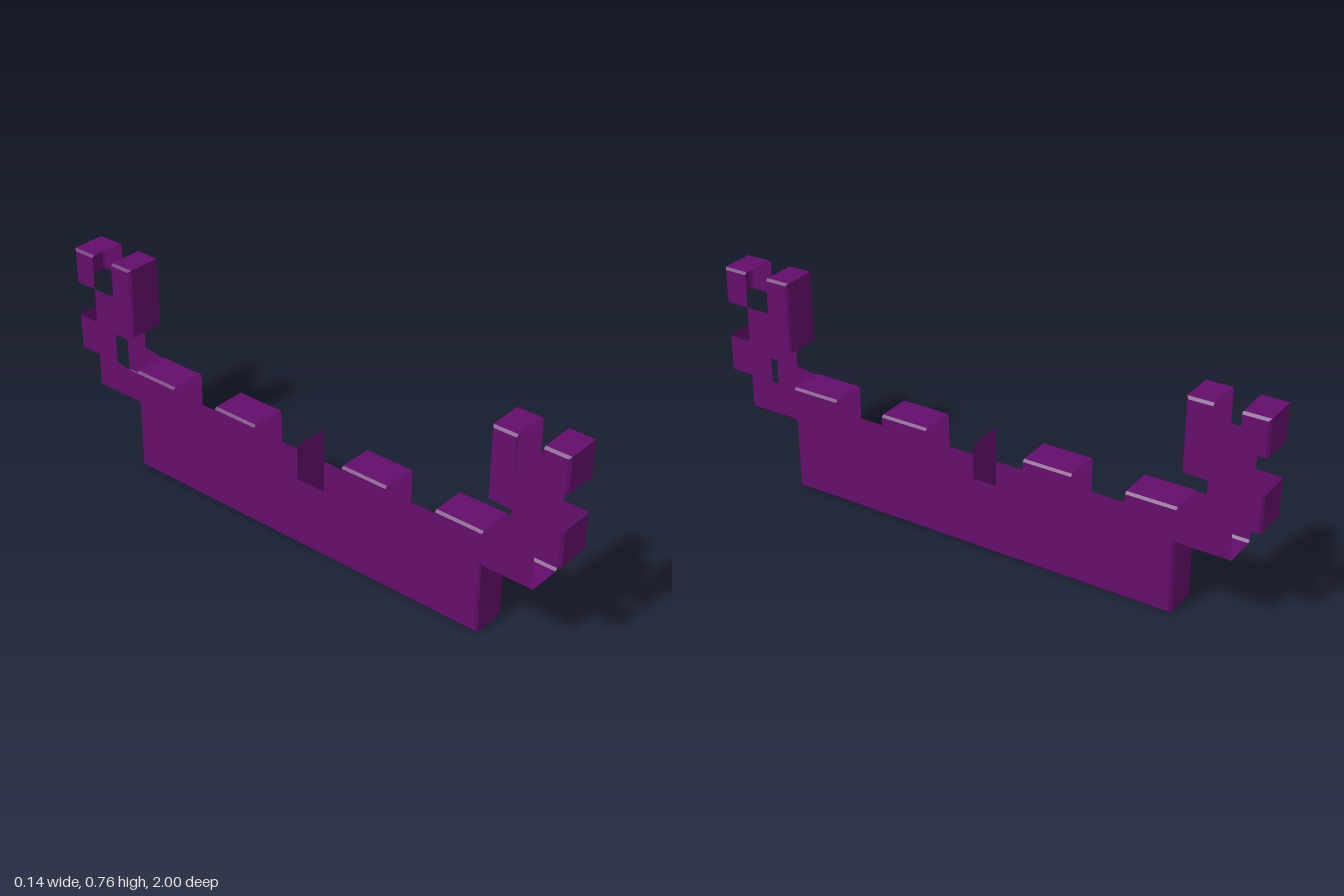
import * as THREE from 'three';

const W = 0.0675;  // half thickness
const C = 0.008;   // chamfer
const material = new THREE.MeshStandardMaterial({
  color: 0x640e6b, flatShading: true, side: THREE.DoubleSide,
});

// Outlines as [z, y, capped]; capped = the edge to the next point carries a chamfered panel,
// other edges stay open.
const hull = [
  [0, 0, 1], [0.725, 0, 1], [0.725, 0.255, 1], [0.91, 0.255], [0.91, 0.382],
  [1, 0.382, 1], [1, 0.508], [0.91, 0.508], [0.91, 0.635], [0.82, 0.635],
  [0.82, 0.76, 1], [0.733, 0.76, 1], [0.733, 0.508], [0.82, 0.508],
  [0.82, 0.382], [0.745, 0.373], [0.725, 0.382, 1], [0.55, 0.382],
  [0.55, 0.255], [0.36, 0.255], [0.36, 0.382, 1], [0.185, 0.382],
  [0.185, 0.255], [0, 0.255],
];
const tip = [[0.91, 0.635], [1, 0.635, 1], [1, 0.76, 1], [0.91, 0.76]];

// Two side walls plus chamfered panels along the capped edges
function shell(outline) {
  const n = outline.length;
  const pos = [];
  const tri = (...pts) => pts.forEach((p) => pos.push(...p));
  const quad = (a, b, c, d) => tri(a, b, c, a, c, d);
  const at = (p, x) => [x, p[1], p[0]];

  // pull the walls in next to each capped edge
  const inner = outline.map((p) => [p[0], p[1]]);
  outline.forEach((a, i) => {
    if (!a[2]) return;
    const j = (i + 1) % n, b = outline[j];
    const dz = b[0] - a[0], dy = b[1] - a[1], len = Math.hypot(dz, dy);
    for (const k of [i, j]) {
      inner[k][0] -= (dy / len) * C;
      inner[k][1] += (dz / len) * C;
    }
  });

  const flat = inner.map((p) => new THREE.Vector2(p[0], p[1]));
  for (const [a, b, c] of THREE.ShapeUtils.triangulateShape(flat, [])) {
    tri(at(inner[a], -W), at(inner[b], -W), at(inner[c], -W));
    tri(at(inner[a], W), at(inner[c], W), at(inner[b], W));
  }

  const V = W - C;
  outline.forEach((a, i) => {
    if (!a[2]) return;
    const j = (i + 1) % n, b = outline[j];
    quad(at(a, -V), at(a, V), at(b, V), at(b, -V));
    quad(at(a, V), at(inner[i], W), at(inner[j], W), at(b, V));
    quad(at(inner[i], -W), at(a, -V), at(b, -V), at(inner[j], -W));
  });

  const geometry = new THREE.BufferGeometry();
  geometry.setAttribute('position', new THREE.Float32BufferAttribute(pos, 3));
  geometry.computeVertexNormals();
  return geometry;
}

function addMesh(parent, name, geometry) {
  const mesh = new THREE.Mesh(geometry, material);
  mesh.name = name;
  parent.add(mesh);
  return mesh;
}

export function createModel() {
  const model = new THREE.Group();
  model.name = 'battlementedBar';

  // two identical halves, back to back
  const hullGeometry = shell(hull), tipGeometry = shell(tip);
  ['frontHalf', 'backHalf'].forEach((name, i) => {
    const half = new THREE.Group();
    half.name = name;
    half.rotation.y = i * Math.PI;
    addMesh(half, 'hullAndHorn', hullGeometry);
    addMesh(half, 'hornTip', tipGeometry);
    model.add(half);
  });

  // cross wall at the middle
  const top = 0.382, V = W - C;
  const section = new THREE.Shape([
    [-V, 0], [V, 0], [W, C], [W, top - C], [V, top], [-V, top], [-W, top - C], [-W, C],
  ].map(([x, y]) => new THREE.Vector2(x, y)));
  addMesh(model, 'middleWall', new THREE.ShapeGeometry(section));

  return model;
}
